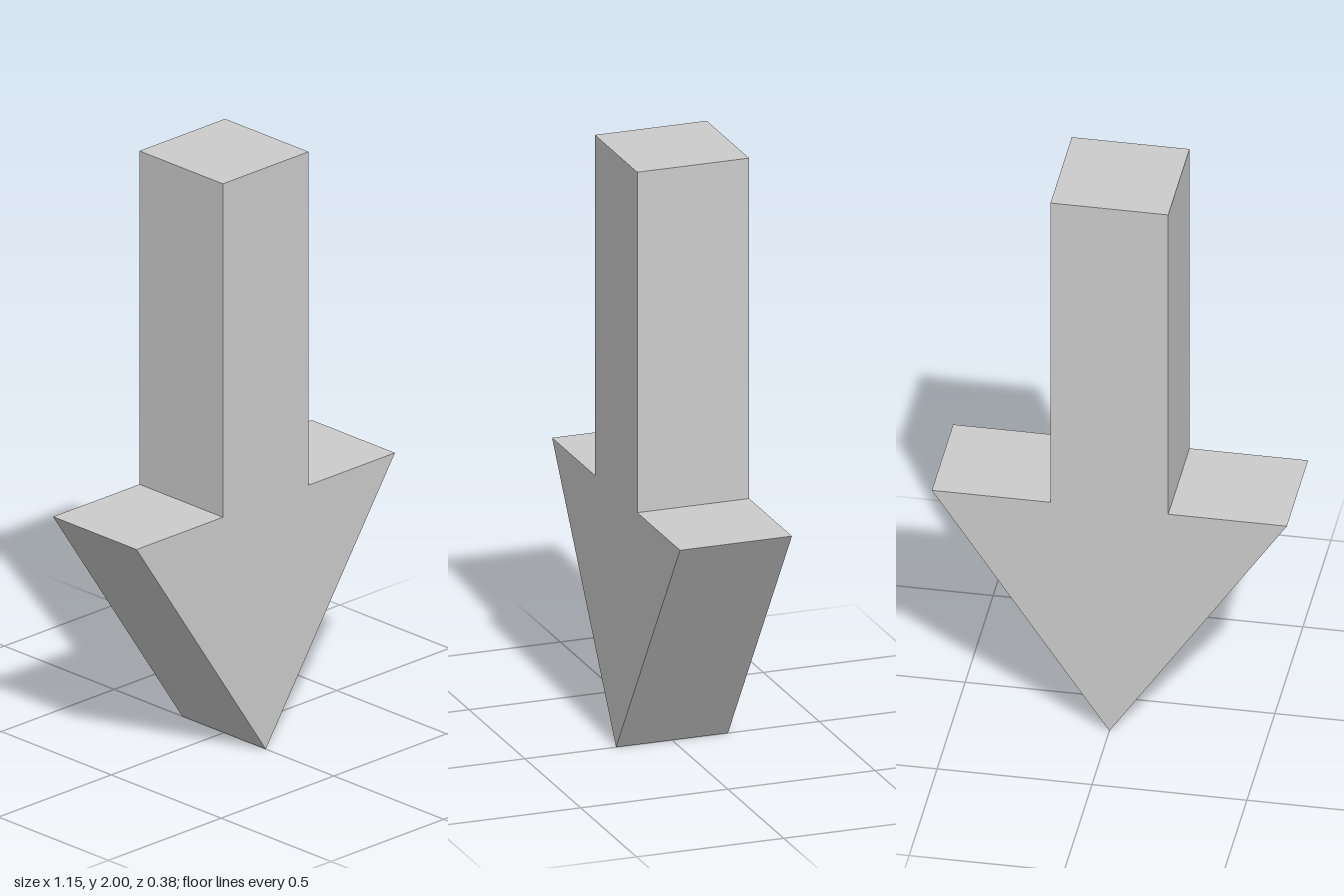
import * as THREE from 'three';

const SHAFT = 0.19;     // half width of the shaft
const HEAD = 0.573;     // half width of the head
const SHOULDER = 0.853; // height where head meets shaft
const HEIGHT = 2;
const DEPTH = 0.38;

export function createModel() {
  const group = new THREE.Group();
  group.name = 'downArrow';

  // Arrow outline, counter-clockwise from the tip
  const outline = new THREE.Shape([
    [0, 0],
    [HEAD, SHOULDER],
    [SHAFT, SHOULDER],
    [SHAFT, HEIGHT],
    [-SHAFT, HEIGHT],
    [-SHAFT, SHOULDER],
    [-HEAD, SHOULDER],
  ].map(([x, y]) => new THREE.Vector2(x, y)));

  // Solid arrow, centred front to back
  const geometry = new THREE.ExtrudeGeometry(outline, { depth: DEPTH, bevelEnabled: false });
  geometry.translate(0, 0, -DEPTH / 2);

  const material = new THREE.MeshStandardMaterial({ color: 0xcccccc, flatShading: true });
  const arrow = new THREE.Mesh(geometry, material);
  arrow.name = 'arrow';
  group.add(arrow);
  return group;
}
